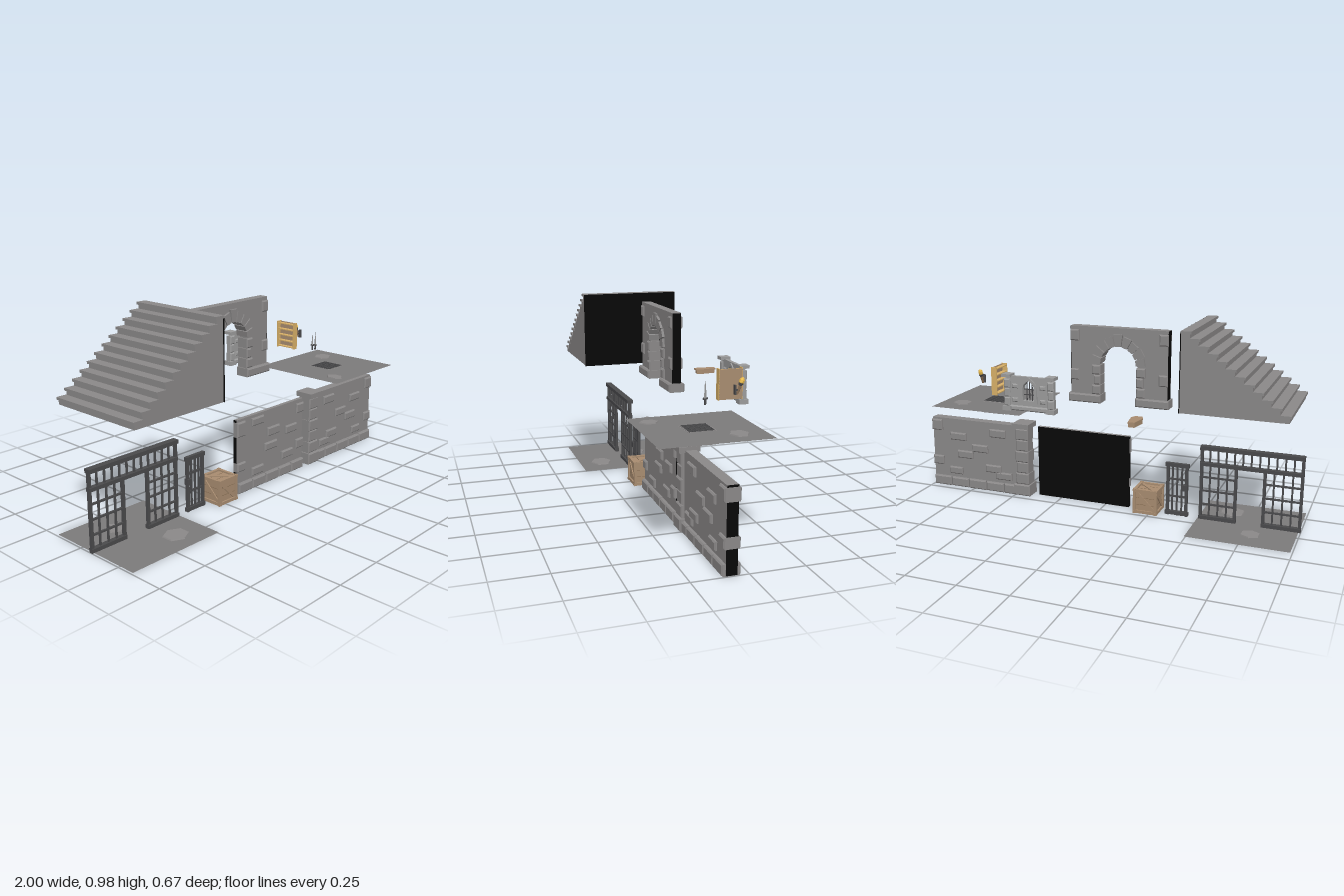
import * as THREE from 'three';

const mat = (color, side = THREE.FrontSide) => {
  const m = new THREE.MeshStandardMaterial({ color, side });
  m.flatShading = true;
  return m;
};
const STONE = mat(0x8a8888), PALE = mat(0x9c9c9c), IRON = mat(0x4a4a4c), BLACK = mat(0x080808);
const FLOOR = mat(0x7c7a7a, THREE.DoubleSide), WOOD = mat(0xa88c70), DARKWOOD = mat(0x866c52);
const GOLD = mat(0xd8b068, THREE.DoubleSide), FLAME = mat(0xf0c050);

function group(parent, name) {
  const g = new THREE.Group();
  g.name = name;
  parent.add(g);
  return g;
}
function add(parent, name, geo, material, x = 0, y = 0, z = 0) {
  const m = new THREE.Mesh(geo, material);
  m.name = name;
  m.position.set(x, y, z);
  parent.add(m);
  return m;
}
// box given by its limits
function box(parent, name, material, x0, x1, y0, y1, z0, z1) {
  return add(parent, name, new THREE.BoxGeometry(x1 - x0, y1 - y0, z1 - z0), material,
    (x0 + x1) / 2, (y0 + y1) / 2, (z0 + z1) / 2);
}
// stone block whose +z face (and -z face when both) is chamfered
function brick(parent, material, x, y, w, h, z0, z1, both = true) {
  const geo = new THREE.BoxGeometry(w, h, z1 - z0, 1, 1, 3);
  const p = geo.attributes.position, d = z1 - z0, c = 0.006;
  for (let i = 0; i < p.count; i++) {
    const z = p.getZ(i), outer = Math.abs(z) > d * 0.4;
    if (outer && (z > 0 || both)) {
      p.setX(i, p.getX(i) - Math.sign(p.getX(i)) * c);
      p.setY(i, p.getY(i) - Math.sign(p.getY(i)) * c);
    } else if (!outer) p.setZ(i, Math.sign(z) * (d / 2 - c));
  }
  geo.computeVertexNormals();
  return add(parent, 'brick', geo, material, x, y, (z0 + z1) / 2);
}
function extrude(parent, name, shape, material, z0, z1) {
  const geo = new THREE.ExtrudeGeometry(shape, { depth: z1 - z0, bevelEnabled: false, curveSegments: 12 });
  return add(parent, name, geo, material, 0, 0, z0);
}
const poly = pts => new THREE.Shape(pts.map(p => new THREE.Vector2(...p)));

function stairs(root) {
  const g = group(root, 'staircase'), n = 12, x0 = -0.95, run = 0.5 / n, rise = 0.375 / n;
  const pts = [[-0.45, 0.6], [-0.45, 0.97]];
  for (let i = n - 1; i >= 0; i--) {
    pts.push([x0 + i * run, 0.595 + (i + 1) * rise], [x0 + i * run, 0.595 + i * rise]);
  }
  pts[pts.length - 1][1] = 0.597;
  pts[0][1] = 0.597;
  extrude(g, 'stepBody', poly(pts), STONE, -0.165, 0.325);
  for (let i = 0; i < n; i++) {
    const y = 0.6 + (i + 1) * rise;
    box(g, 'tread', STONE, x0 + i * run - 0.008, x0 + (i + 1) * run, y - 0.012, y, -0.168, 0.33);
  }
  box(g, 'stairBack', BLACK, -0.452, -0.448, 0.597, 0.974, -0.167, 0.329);
}

// square floor, optionally with a square opening, and loose slabs
function floor(root, name, x0, y, slabs, hole) {
  const g = group(root, name), x1 = x0 + 0.497, z0 = -0.175, z1 = 0.33;
  const s = poly([[x0, -z1], [x1, -z1], [x1, -z0], [x0, -z0]]);
  if (hole) s.holes.push(poly([[hole[0], -hole[3]], [hole[0], -hole[2]], [hole[1], -hole[2]], [hole[1], -hole[3]]]));
  add(g, 'floorPlane', new THREE.ShapeGeometry(s).rotateX(-Math.PI / 2), FLOOR, 0, y, 0);
  for (const [x, z, rx, rz] of slabs) {
    const slab = add(g, 'floorSlab', new THREE.CylinderGeometry(0.95, 1, 0.005, 6), STONE, x, y + 0.0025, z);
    slab.scale.set(rx, 1, rz);
  }
}

// iron panel of upright and cross bars
function bars(g, x0, x1, n, y0, y1, levels) {
  for (let i = 0; i <= n; i++) {
    const x = x0 + 0.007 + (x1 - x0 - 0.014) * i / n, w = i % n ? 0.004 : 0.007;
    box(g, 'uprightBar', IRON, x - w, x + w, y0, y1, 0.072 - w, 0.072 + w);
  }
  for (const y of levels) box(g, 'crossBar', IRON, x0, x1, y - 0.004, y + 0.004, 0.067, 0.077);
}
function gate(root) {
  const g = group(root, 'ironGate');
  for (const [a, b] of [[-1, -0.81], [-0.685, -0.5]]) {
    bars(g, a, b, 4, 0, 0.29, [0.08, 0.15, 0.22]);
    box(g, 'bottomRail', IRON, a, b, 0.003, 0.021, 0.06, 0.084);
  }
  bars(g, -1, -0.5, 12, 0.29, 0.37, []);
  box(g, 'middleRail', IRON, -1, -0.5, 0.28, 0.297, 0.06, 0.084);
  box(g, 'topRail', IRON, -1, -0.5, 0.362, 0.381, 0.056, 0.088);
  const d = group(root, 'ironDoor');
  bars(d, -0.44, -0.33, 4, 0, 0.27, [0.1, 0.19]);
  for (const y of [0.003, 0.255]) box(d, 'doorRail', IRON, -0.445, -0.325, y, y + 0.019, 0.063, 0.081);
  box(d, 'lock', IRON, -0.44, -0.415, 0.135, 0.165, 0.06, 0.084);
}

function crate(root) {
  const g = group(root, 'crate');
  g.position.set(-0.233, 0.065, 0.083);
  box(g, 'crateCore', WOOD, -0.055, 0.055, -0.055, 0.055, -0.055, 0.055);
  const turns = [[0, 0], [0, 1], [0, 2], [0, 3], [1, 0], [-1, 0]];
  for (const [rx, ry] of turns) {
    const f = group(g, 'crateSide');
    f.rotation.set(rx * Math.PI / 2, ry * Math.PI / 2, 0);
    for (const s of [-1, 1]) {
      add(f, 'upright', new THREE.BoxGeometry(0.015, 0.13, 0.01), WOOD, s * 0.0555, 0, 0.058);
      add(f, 'crossPiece', new THREE.BoxGeometry(0.1, 0.015, 0.01), WOOD, 0, s * 0.0555, 0.058);
      add(f, 'plankGap', new THREE.BoxGeometry(0.1, 0.002, 0.002), DARKWOOD, 0, s * 0.018, 0.055);
    }
    add(f, 'diagonal', new THREE.BoxGeometry(0.14, 0.016, 0.006), WOOD, 0, 0, 0.057).rotation.z = -Math.PI / 4;
  }
}

// wall slab with black ends and underside; bricks are [x, y, width, height]
function wall(root, name, x0, x1, z0, z1, bricks, both) {
  const g = group(root, name), out = 0.012;
  box(g, 'wallSlab', [BLACK, BLACK, STONE, BLACK, STONE, both ? STONE : BLACK], x0, x1, 0.002, 0.38, z0, z1);
  for (const [x, y, w, h] of bricks) brick(g, STONE, x, y, w, h, both ? z0 - out : z0 + 0.002, z1 + out, both);
  const n = 5, w = (x1 - x0) / n;
  for (let i = 0; i < n; i++) {
    brick(g, STONE, x0 + (i + 0.5) * w, 0.026, w - 0.004, i % 2 ? 0.05 : 0.052, both ? z0 - 0.016 : z0 + 0.002, z1 + 0.018, both);
  }
  return g;
}
function walls(root) {
  wall(root, 'plainWall', -0.128, 0.378, 0.08, 0.1, [
    [-0.1, 0.33, 0.06, 0.075], [0.14, 0.265, 0.095, 0.045], [0.35, 0.335, 0.06, 0.05], [0.02, 0.345, 0.09, 0.04],
    [0.12, 0.19, 0.095, 0.04], [0.28, 0.24, 0.09, 0.042], [0.25, 0.11, 0.09, 0.042], [0.02, 0.085, 0.09, 0.042],
    [-0.1, 0.135, 0.06, 0.045], [0.35, 0.14, 0.06, 0.05]], false);
  const g = wall(root, 'pillarWall', 0.46, 0.997, 0.05, 0.1, [
    [0.6, 0.325, 0.095, 0.045], [0.84, 0.285, 0.095, 0.042], [0.968, 0.34, 0.064, 0.06], [0.71, 0.23, 0.095, 0.042],
    [0.8, 0.187, 0.095, 0.042], [0.63, 0.125, 0.095, 0.042], [0.57, 0.09, 0.095, 0.04], [0.968, 0.14, 0.064, 0.05],
    [0.86, 0.09, 0.08, 0.04]], true);
  // stacked pillar at the wall's end
  const half = [0.046, 0.038, 0.034, 0.038, 0.034, 0.036];
  half.forEach((r, i) => brick(g, STONE, 0.459, 0.031 + i * 0.061, r * 2, 0.061, 0.08 - r - 0.002, 0.08 + r));
  box(g, 'pillarCap', STONE, 0.413, 0.507, 0.37, 0.396, 0.03, 0.13);
}

function archWall(root) {
  const g = group(root, 'archWall'), cx = -0.097, cy = 0.76, r = 0.1, z0 = 0, z1 = 0.045;
  const s = poly([[cx - r, 0.562], [-0.345, 0.562], [-0.345, 0.94], [0.151, 0.94], [0.151, 0.562], [cx + r, 0.562]]);
  s.absarc(cx, cy, r, 0, Math.PI, false);
  extrude(g, 'archSlab', s, STONE, z0, z1);
  box(g, 'darkEnd', BLACK, 0.149, 0.153, 0.562, 0.938, z0 + 0.001, z1 - 0.001);
  box(g, 'darkEnd', BLACK, -0.347, -0.343, 0.562, 0.938, z0 + 0.001, z1 - 0.001);
  // arch stones with a taller keystone
  const n = 9;
  for (let i = 0; i < n; i++) {
    const a = Math.PI * i / n + 0.025, b = Math.PI * (i + 1) / n - 0.025, k = i === 4 ? 0.153 : 0.138 + 0.006 * (i % 2);
    const v = (q, t) => [cx + q * Math.cos(t), cy + q * Math.sin(t)];
    extrude(g, 'archStone', poly([v(0.092, a), v(k, a), v(k, b), v(0.092, b)]), STONE, z0 - 0.012, z1 + 0.012);
  }
  for (const side of [-1, 1]) {
    [0.045, 0.035, 0.045].forEach((w, i) =>
      brick(g, STONE, cx + side * (r - 0.008 + w / 2), 0.63 + i * 0.05, w, 0.047, z0 - 0.011, z1 + 0.011));
    const b = brick(g, STONE, cx + side * 0.174, 0.584, 0.168, 0.042, z0 - 0.016, z1 + 0.018);
    b.name = 'archBase';
    add(g, 'darkUnderside', new THREE.BoxGeometry(0.15, 0.003, 0.05), BLACK, cx + side * 0.174, 0.563, 0.022);
    for (const y of [0.7, 0.895]) brick(g, STONE, cx + side * 0.227, y, 0.045, 0.055, z0 - 0.009, z1 + 0.009);
  }
}

function windowWall(root) {
  const g = group(root, 'windowWall'), cx = 0.278, zc = -0.213;
  const gothic = (Shape, w, y0, y1, y2) => {
    const p = new Shape();
    p.moveTo(cx - w, y0).lineTo(cx + w, y0).lineTo(cx + w, y1);
    p.quadraticCurveTo(cx + w, (y1 + y2) / 2 + 0.008, cx, y2);
    p.quadraticCurveTo(cx - w, (y1 + y2) / 2 + 0.008, cx - w, y1);
    return p;
  };
  const s = poly([[0.16, 0.55], [0.395, 0.55], [0.395, 0.716], [0.16, 0.716]]);
  s.holes.push(gothic(THREE.Path, 0.03, 0.6, 0.655, 0.698));
  extrude(g, 'windowSlab', s, PALE, zc - 0.009, zc + 0.009);
  const frame = gothic(THREE.Shape, 0.044, 0.588, 0.655, 0.714);
  frame.holes.push(gothic(THREE.Path, 0.03, 0.6, 0.655, 0.698));
  extrude(g, 'windowFrame', frame, PALE, zc - 0.015, zc + 0.015);
  for (const x of [-0.014, 0, 0.014]) box(g, 'windowBar', IRON, cx + x - 0.002, cx + x + 0.002, 0.6, 0.692, zc - 0.002, zc + 0.002);
  for (const y of [0.628, 0.655]) box(g, 'windowBar', IRON, cx - 0.03, cx + 0.03, y - 0.002, y + 0.002, zc - 0.002, zc + 0.002);
  brick(g, PALE, cx, 0.56, 0.2, 0.026, zc - 0.016, zc + 0.016);
  for (const side of [-1, 1]) {
    const x = cx + side * 0.115;
    for (const y of [0.6, 0.668]) brick(g, PALE, cx + side * 0.073, y, 0.034, 0.024, zc - 0.014, zc + 0.014);
    [0.017, 0.0155, 0.017].forEach((r, i) => brick(g, PALE, x, 0.589 + i * 0.045, r * 2, 0.045, zc - r, zc + r));
    box(g, 'pillarBase', PALE, x - 0.022, x + 0.022, 0.545, 0.568, zc - 0.022, zc + 0.022);
    box(g, 'pillarCap', PALE, x - 0.023, x + 0.023, 0.71, 0.725, zc - 0.024, zc + 0.024);
  }
}

function props(root) {
  // tapered wooden chest with an overhanging lid
  const c = group(root, 'taperedChest');
  const outline = k => poly([[-0.016, 0.055], [0.016, 0.055], [0.029, -0.03], [0.017, -0.055], [-0.017, -0.055], [-0.029, -0.03]]
    .map(([x, y]) => [x * k, y * k]));
  for (const [k, y0, h] of [[0.9, 0, 0.017], [1, 0.017, 0.008]]) {
    const geo = new THREE.ExtrudeGeometry(outline(k), { depth: h, bevelEnabled: false }).rotateX(-Math.PI / 2);
    add(c, 'chestPart', geo, WOOD, -0.28, 0.556 + y0, -0.282);
  }
  // shelf, open towards -x
  const s = group(root, 'shelf');
  box(s, 'shelfBack', WOOD, 0.504, 0.51, 0.597, 0.733, -0.163, -0.053);
  for (const z of [-0.165, -0.056]) box(s, 'shelfSide', GOLD, 0.48, 0.51, 0.595, 0.736, z, z + 0.005);
  for (let i = 0; i < 5; i++) box(s, 'shelfBoard', GOLD, 0.481, 0.505, 0.6 + i * 0.031, 0.605 + i * 0.031, -0.161, -0.055);
  // two upright blades
  for (const [x, z, h] of [[0.563, 0.032, 0.105], [0.548, 0.024, 0.09]]) {
    const w = group(root, 'blade');
    box(w, 'bladeGrip', IRON, x - 0.003, x + 0.003, 0.595, 0.618, z - 0.003, z + 0.003);
    box(w, 'bladeGuard', IRON, x - 0.004, x + 0.004, 0.618, 0.623, z - 0.01, z + 0.01);
    const b = add(w, 'bladeTip', new THREE.CylinderGeometry(0.001, 0.005, h - 0.028, 4), PALE, x, 0.623 + (h - 0.028) / 2, z);
    b.scale.x = 0.5;
  }
  // bracket torch leaning to -z
  const t = group(root, 'torch');
  box(t, 'torchPlate', IRON, 0.582, 0.6, 0.637, 0.68, -0.097, -0.091);
  box(t, 'torchArm', IRON, 0.588, 0.594, 0.654, 0.661, -0.115, -0.095);
  const lean = group(t, 'torchHead');
  lean.position.set(0.591, 0.64, -0.105);
  lean.rotation.x = -0.36;
  add(lean, 'torchShaft', new THREE.CylinderGeometry(0.008, 0.005, 0.045, 6), DARKWOOD, 0, 0.02, 0);
  add(lean, 'torchCup', new THREE.CylinderGeometry(0.012, 0.008, 0.012, 6), IRON, 0, 0.043, 0);
  add(lean, 'flame', new THREE.SphereGeometry(0.012, 6, 5), FLAME, 0, 0.058, 0).scale.y = 1.5;
}

// sunken pit under a barred opening
function pit(root) {
  const g = group(root, 'gratedPit'), [x0, x1, z0, z1] = [0.55, 0.66, 0.022, 0.138], t = 0.004;
  box(g, 'pitSide', STONE, x0 - t, x0, 0.445, 0.508, z0, z1);
  box(g, 'pitSide', STONE, x1, x1 + t, 0.445, 0.508, z0, z1);
  box(g, 'pitSide', STONE, x0 - t, x1 + t, 0.445, 0.508, z0 - t, z0);
  box(g, 'pitSide', STONE, x0 - t, x1 + t, 0.445, 0.508, z1, z1 + t);
  box(g, 'pitBottom', GOLD, x0, x1, 0.446, 0.449, z0, z1);
  for (let i = 0; i <= 5; i++) {
    const x = x0 + (x1 - x0) * i / 5, z = z0 + (z1 - z0) * i / 5;
    box(g, 'grateBar', IRON, x - 0.003, x + 0.003, 0.503, 0.509, z0, z1);
    box(g, 'grateBar', IRON, x0, x1, 0.502, 0.508, z - 0.003, z + 0.003);
    for (const e of [z0 - 0.005, z1 + 0.005]) box(g, 'rimStone', STONE, x - 0.008, x + 0.008, 0.491, 0.506, e - 0.003, e + 0.003);
  }
}

export function createModel() {
  const root = new THREE.Group();
  root.name = 'dungeonKit';
  stairs(root);
  floor(root, 'lowerFloor', -0.99, 0.001, [[-0.64, 0.21, 0.065, 0.058], [-0.78, -0.04, 0.05, 0.045]]);
  floor(root, 'upperFloor', 0.358, 0.506, [[0.45, 0.25, 0.035, 0.045], [0.745, -0.053, 0.05, 0.045]], [0.55, 0.66, 0.022, 0.138]);
  gate(root);
  crate(root);
  walls(root);
  archWall(root);
  windowWall(root);
  props(root);
  pit(root);
  return root;
}
